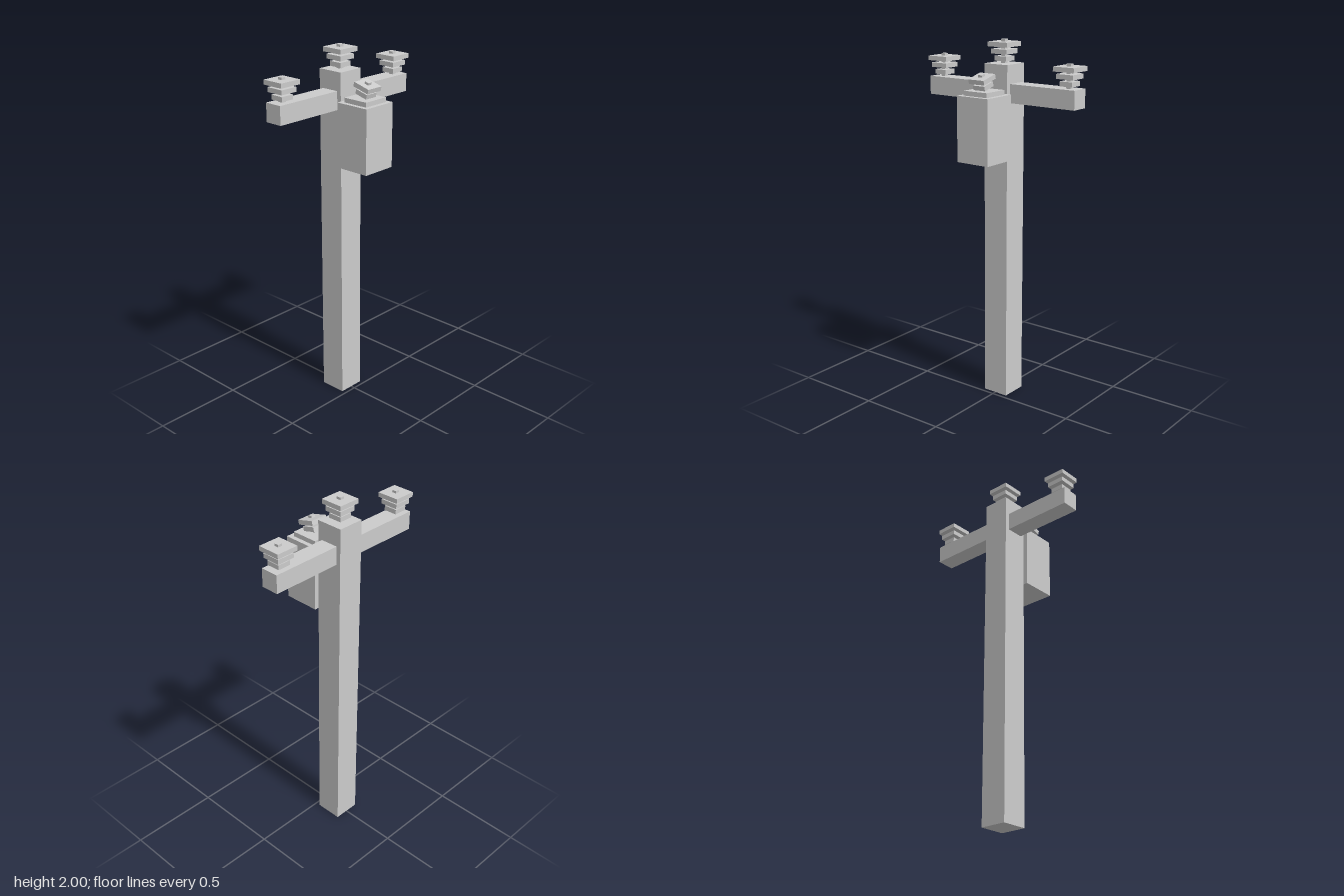
import * as THREE from 'three';

export function createModel() {
  const model = new THREE.Group();
  model.name = 'utilityPole';
  const material = new THREE.MeshStandardMaterial({ color: 0xcccccc, flatShading: true });

  // Box placed by its bottom centre
  function block(parent, name, [w, h, d], [x, y, z]) {
    const mesh = new THREE.Mesh(new THREE.BoxGeometry(w, h, d), material);
    mesh.name = name;
    mesh.position.set(x, y + h / 2, z);
    parent.add(mesh);
    return mesh;
  }

  // Square stem with stacked plates that widen upwards
  function insulator(name, plateWidths, x, y, z, tilt = 0) {
    const group = new THREE.Group();
    group.name = name;
    const pitch = 0.0375;
    // The stem runs slightly into its support so a tilted one leaves no gap
    block(group, 'stem', [0.025, plateWidths.length * pitch + 0.0225, 0.025], [0, -0.01, 0]);
    plateWidths.forEach((w, i) => {
      block(group, 'plate', [w, 0.025, w], [0, 0.0125 + i * pitch, 0]);
    });
    group.position.set(x, y, z);
    group.rotation.z = tilt;
    model.add(group);
  }

  // Pole and crossarm
  const poleX = -0.1;
  block(model, 'pole', [0.15, 1.875, 0.15], [poleX, 0, 0]);
  block(model, 'crossarm', [0.1, 0.1, 0.95], [poleX, 1.675, 0]);

  // Transformer hung on the pole's left side
  block(model, 'transformerBody', [0.2, 0.35, 0.2], [0.075, 1.375, 0]);
  block(model, 'transformerLid', [0.15, 0.025, 0.15], [0.075, 1.725, 0]);

  // Insulators on the pole top, both crossarm ends and the transformer
  const plates = [0.075, 0.1, 0.125];
  insulator('topInsulator', plates, poleX, 1.875, 0);
  insulator('frontInsulator', plates, poleX, 1.775, 0.4125);
  insulator('backInsulator', plates, poleX, 1.775, -0.4125);
  insulator('transformerInsulator', [0.075, 0.1], 0.075, 1.75, 0, -Math.PI / 12);

  return model;
}
